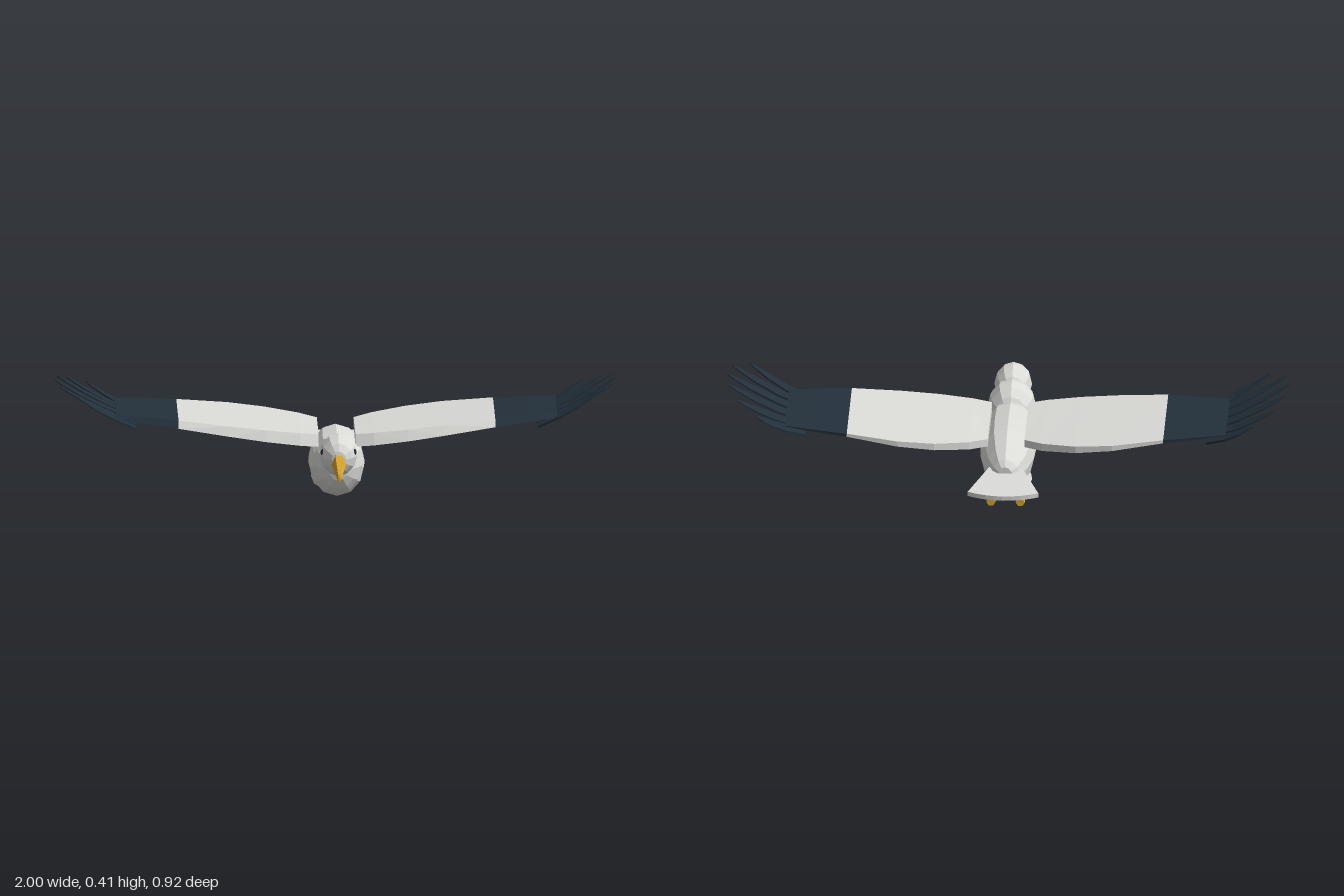
import * as THREE from 'three';

const plumage = new THREE.MeshStandardMaterial({ name: 'pale grey plumage', color: 0xdcdcd9 });
const dark = new THREE.MeshStandardMaterial({ name: 'dark navy feathers', color: 0x23303b });
const gold = new THREE.MeshStandardMaterial({ name: 'golden horn', color: 0xd9a632 });

// Faceted normals for any geometry
function facet(geometry) {
  const g = geometry.index ? geometry.toNonIndexed() : geometry;
  g.computeVertexNormals();
  return g;
}

// Skin through closed loops of [x, y, z]; side -1 mirrors across x
function loft(loops, side = 1) {
  const pos = [];
  const tri = (a, b, c) => {
    for (const p of side > 0 ? [a, b, c] : [a, c, b]) pos.push(p[0] * side, p[1], p[2]);
  };
  const n = loops[0].length;
  for (let i = 0; i < loops.length - 1; i++) {
    for (let j = 0; j < n; j++) {
      const k = (j + 1) % n;
      const a = loops[i][j], b = loops[i][k], c = loops[i + 1][k], d = loops[i + 1][j];
      tri(a, b, c);
      tri(a, c, d);
    }
  }
  const first = loops[0], last = loops[loops.length - 1];
  for (let j = 1; j < n - 1; j++) {
    tri(first[0], first[j + 1], first[j]);
    tri(last[0], last[j], last[j + 1]);
  }
  const g = new THREE.BufferGeometry();
  g.setAttribute('position', new THREE.Float32BufferAttribute(pos, 3));
  return facet(g);
}

// Elliptical loop facing z
function ring(z, y, rx, ry, n, x = 0) {
  return Array.from({ length: n }, (_, i) => {
    const a = (i / n) * Math.PI * 2;
    return [x + rx * Math.cos(a), y + ry * Math.sin(a), z];
  });
}

function ellipsoid(rx, ry, rz, w = 12, h = 8) {
  const g = new THREE.SphereGeometry(1, w, h);
  g.rotateX(Math.PI / 2);
  g.scale(rx, ry, rz);
  return facet(g);
}

// Wing stations: x, top y, bottom y, leading z, trailing z
const innerWing = [
  [0.065, 0.249, 0.208, 0.112, -0.205],
  [0.13, 0.256, 0.215, 0.125, -0.25],
  [0.25, 0.268, 0.23, 0.13, -0.295],
  [0.38, 0.281, 0.248, 0.122, -0.31],
  [0.56, 0.298, 0.273, 0.1, -0.29],
];
const outerWing = [
  innerWing[4],
  [0.68, 0.306, 0.285, 0.073, -0.278],
  [0.78, 0.311, 0.295, 0.05, -0.262],
];
const wingLoop = ([x, top, bottom, lead, trail]) => [
  [x, top - 0.008, trail],
  [x, top, lead - 0.02],
  [x, bottom, lead],
  [x, bottom + 0.005, trail],
];

// Flight feathers: base z, tip x, y, z
const feathers = [
  [0.045, 0.92, 0.386, 0.08],
  [-0.01, 0.98, 0.408, 0.012],
  [-0.07, 0.998, 0.415, -0.07],
  [-0.13, 0.985, 0.408, -0.155],
  [-0.185, 0.95, 0.385, -0.235],
  [-0.235, 0.88, 0.354, -0.3],
];
function featherGeometry([baseZ, tx, ty, tz], side) {
  const profile = [[0, 0.02], [0.4, 0.026], [0.7, 0.022], [0.9, 0.012], [1, 0.003]];
  return loft(profile.map(([t, w]) => {
    const x = THREE.MathUtils.lerp(0.71, tx, t);
    const y = THREE.MathUtils.lerp(0.264, ty, t) - 0.008 * Math.sin(Math.PI * t);
    const z = THREE.MathUtils.lerp(baseZ, tz, t);
    const h = 0.005 - 0.003 * t;
    return [[x, y + h, z - w], [x, y + h, z + w], [x, y - h, z + w], [x, y - h, z - w]];
  }), side);
}

export function createModel() {
  const model = new THREE.Group();
  model.name = 'bird';
  const add = (parent, name, geometry, material, x = 0, y = 0, z = 0) => {
    const m = new THREE.Mesh(geometry, material);
    m.name = name;
    m.position.set(x, y, z);
    parent.add(m);
    return m;
  };

  // Body, neck ruff and head
  add(model, 'body', loft([
    [-0.29, 0.138, 0.026, 0.034],
    [-0.27, 0.135, 0.048, 0.058],
    [-0.21, 0.13, 0.074, 0.086],
    [-0.11, 0.13, 0.095, 0.109],
    [0, 0.13, 0.1, 0.114],
    [0.1, 0.134, 0.095, 0.107],
    [0.18, 0.14, 0.07, 0.08],
    [0.22, 0.15, 0.03, 0.04],
  ].map(([z, y, rx, ry]) => ring(z, y, rx, ry, 12))), plumage);
  add(model, 'neck', ellipsoid(0.088, 0.108, 0.102), plumage, 0, 0.171, 0.213);
  add(model, 'head', ellipsoid(0.067, 0.076, 0.084), plumage, 0, 0.225, 0.303);

  // Hooked beak
  add(model, 'beak', loft([
    [0.35, 0.213, 0.029, 0.045],
    [0.38, 0.206, 0.026, 0.042],
    [0.435, 0.185, 0.014, 0.023],
    [0.453, 0.175, 0.009, 0.016],
    [0.458, 0.17, 0.005, 0.009],
  ].map(([z, y, rx, ry]) => ring(z, y, rx, ry, 6))), gold);

  // Tail fan
  const fan = new THREE.Shape();
  fan.moveTo(0.05, 0.22);
  fan.lineTo(0.125, 0.43);
  fan.quadraticCurveTo(0, 0.49, -0.125, 0.43);
  fan.lineTo(-0.05, 0.22);
  fan.closePath();
  const fanGeometry = new THREE.ExtrudeGeometry(fan, { depth: 0.017, bevelEnabled: false, curveSegments: 8 });
  fanGeometry.rotateX(-Math.PI / 2 - 0.064);
  add(model, 'tail', facet(fanGeometry), plumage, 0, 0.149, 0);

  // Paired parts
  for (const side of [1, -1]) {
    const label = side > 0 ? 'left' : 'right';
    const wing = new THREE.Group();
    wing.name = label + 'Wing';
    model.add(wing);
    add(wing, 'innerWing', loft(innerWing.map(wingLoop), side), plumage);
    add(wing, 'outerWing', loft(outerWing.map(wingLoop), side), dark);
    feathers.forEach((f, i) => add(wing, 'flightFeather' + (i + 1), featherGeometry(f, side), dark));

    add(model, label + 'Eye', ellipsoid(0.008, 0.013, 0.008, 8, 6), dark, side * 0.056, 0.24, 0.333);
    add(model, label + 'Thigh', ellipsoid(0.036, 0.038, 0.076, 8, 6), plumage, side * 0.052, 0.05, -0.117);
    add(model, label + 'Foot', loft([
      ring(-0.247, 0.016, 0.016, 0.0155, 6, 0.052),
      ring(-0.14, 0.028, 0.018, 0.021, 6, 0.052),
    ], side), gold);
  }
  return model;
}
